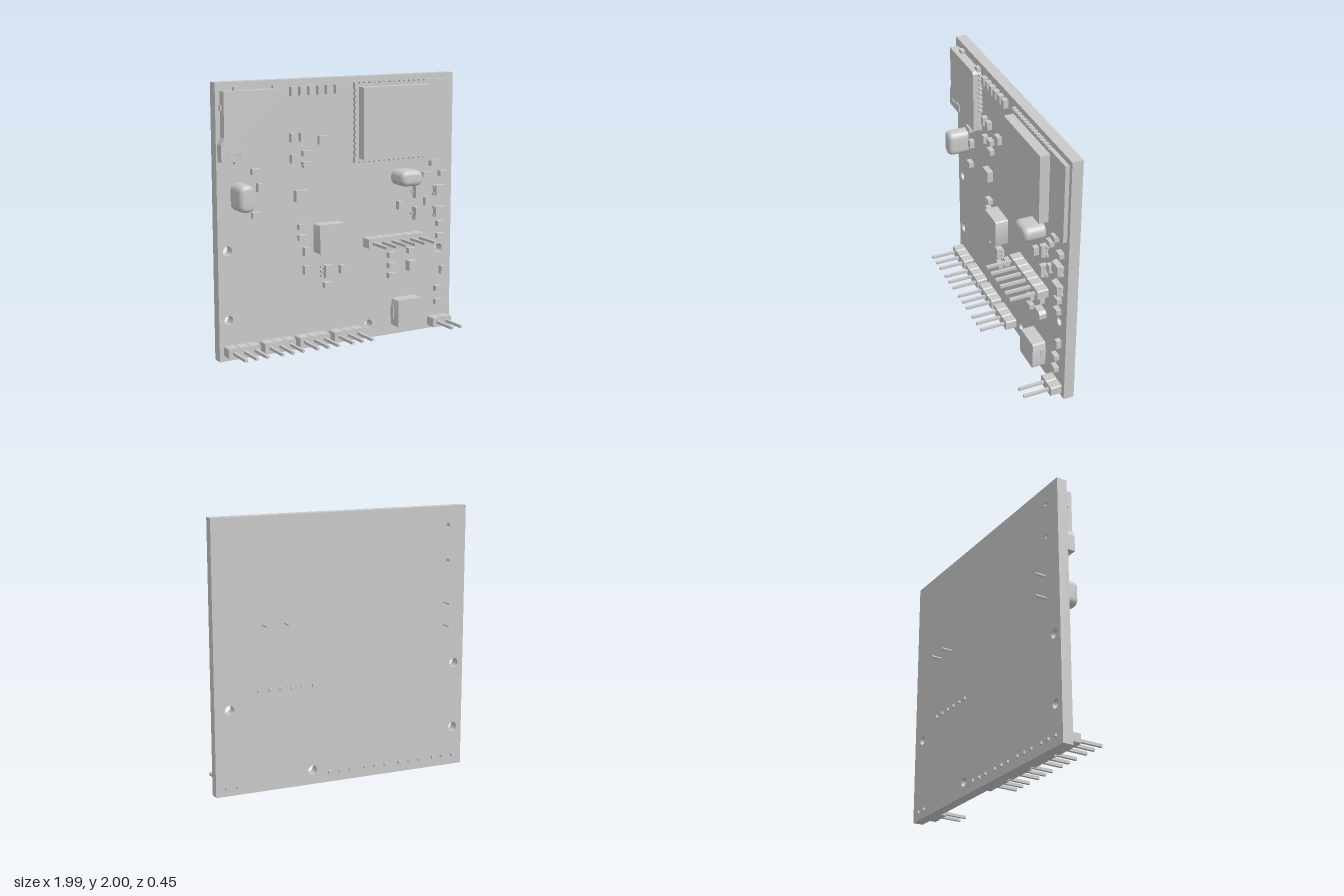
import * as THREE from 'three';
import { toCreasedNormals } from 'three/addons/utils/BufferGeometryUtils.js';

const FACE = -0.06; // z of the board's front face
const BACK = -0.14;

export function createModel() {
  const root = new THREE.Group();
  const grey = new THREE.MeshStandardMaterial({ color: 0xc9c9c9 });
  grey.name = 'lightGrey';

  const add = (name, geo, parent = root) => {
    const mesh = new THREE.Mesh(geo, grey);
    mesh.name = name;
    parent.add(mesh);
  };
  const group = (name) => {
    const g = new THREE.Group();
    g.name = name;
    root.add(g);
    return g;
  };
  // Box from its centre in x and y, and from z0 to z1
  const box = (name, x, y, w, h, z0, z1, parent) =>
    add(name, new THREE.BoxGeometry(w, h, z1 - z0).translate(x, y, (z0 + z1) / 2), parent);
  const polygon = (pts) => new THREE.Shape(pts.map(([x, y]) => new THREE.Vector2(x, y)));
  const slab = (shape, z0, z1) =>
    new THREE.ExtrudeGeometry(shape, { depth: z1 - z0, bevelEnabled: false, curveSegments: 12 }).translate(0, 0, z0);
  const roundRect = (x, y, w, h, r) => {
    const s = new THREE.Shape();
    const a = w / 2 - r, b = h / 2 - r;
    s.absarc(x + a, y + b, r, 0, Math.PI / 2);
    s.absarc(x - a, y + b, r, Math.PI / 2, Math.PI);
    s.absarc(x - a, y - b, r, Math.PI, Math.PI * 1.5);
    s.absarc(x + a, y - b, r, Math.PI * 1.5, Math.PI * 2);
    s.closePath();
    return s;
  };

  // Circuit board with mounting holes and two locating holes
  const board = polygon([[-0.995, 0], [0.995, 0], [0.995, 2], [-0.995, 2]]);
  for (const [x, y, r] of [
    [-0.92, 0.805, 0.035], [-0.92, 0.298, 0.035], [0.882, 0.635, 0.035], [0.247, 0.107, 0.035],
    [-0.85, 1.855, 0.016], [-0.85, 1.59, 0.016],
  ]) {
    const hole = new THREE.Path();
    hole.absarc(x, y, r, 0, Math.PI * 2, true);
    board.holes.push(hole);
  }
  add('circuitBoard', toCreasedNormals(slab(board, BACK, FACE), 0.6));

  // Radio module: base with a notched edge, and a raised metal cover
  const radio = group('radioModule');
  const pts = [];
  const notchRun = (n, from, to, place) => {
    const p = (to - from) / n;
    for (let i = 0; i < n; i++) {
      const a = from + i * p;
      pts.push(place(a + p * 0.3, 0), place(a + p * 0.3, 0.01), place(a + p * 0.7, 0.01), place(a + p * 0.7, 0));
    }
  };
  pts.push([0.107, 1.362]);
  notchRun(14, 0.12, 0.73, (t, d) => [t, 1.362 + d]);
  pts.push([0.96, 1.362], [0.96, 1.958]);
  notchRun(14, 0.73, 0.12, (t, d) => [t, 1.958 - d]);
  pts.push([0.107, 1.958]);
  notchRun(12, 1.92, 1.4, (t, d) => [0.107 + d, t]);
  add('moduleBase', slab(polygon(pts), FACE, -0.03), radio);
  box('moduleCover', 0.437, 1.66, 0.592, 0.53, -0.03, 0.042, radio);

  // Memory card socket
  const socket = group('cardSocket');
  add('socketShell', slab(polygon([
    [-0.985, 1.45], [-0.505, 1.45], [-0.505, 1.92], [-0.52, 1.94], [-0.96, 1.94], [-0.96, 1.62], [-0.985, 1.57],
  ]), FACE, 0.005), socket);
  for (const [x, y] of [[-0.84, 1.947], [-0.535, 1.947], [-0.84, 1.443], [-0.525, 1.467]])
    box('socketTab', x, y, 0.05, 0.035, FACE, -0.03, socket);
  box('socketSideTab', -0.96, 1.825, 0.02, 0.04, FACE, -0.03, socket);
  for (let i = 0; i < 9; i++) box('socketContact', -0.495, 1.62 + i * 0.0365, 0.03, 0.013, FACE, -0.035, socket);
  add('socketLever', slab(polygon([
    [-0.935, 1.5], [-0.85, 1.5], [-0.83, 1.47], [-0.78, 1.47], [-0.78, 1.53], [-0.84, 1.53], [-0.87, 1.515], [-0.935, 1.515],
  ]), 0.005, 0.013), socket);

  // Small chip resistors and capacitors: lying flat and standing upright
  const lying = [
    [-0.293, 1.463], [-0.293, 1.383], [-0.702, 1.362], [-0.702, 1.048], [0.814, 1.314], [0.745, 1.229],
    [0.899, 1.229], [-0.33, 0.926], [-0.33, 0.846], [-0.122, 0.468], [0.441, 0.633], [0.441, 0.553],
    [0.441, 0.473], [0.617, 0.649], [0.883, 0.835], [0.883, 0.739], [0.872, 0.319], [0.872, 0.213],
  ];
  const upright = [
    [-0.404, 1.585], [-0.327, 1.585], [-0.399, 1.431], [-0.67, 1.245], [0.511, 1.011], [0.755, 1.021],
    [-0.298, 0.739], [-0.298, 0.601], [0.005, 0.574], [0.91, 0.463],
  ];
  const chips = group('chipParts');
  for (const [x, y] of lying) box('chipPart', x, y, 0.064, 0.041, FACE, -0.022, chips);
  for (const [x, y] of upright) box('chipPart', x, y, 0.041, 0.064, FACE, -0.022, chips);
  for (let i = 0; i < 6; i++) box('chipCapacitor', -0.396 + i * 0.0722, 1.915, 0.045, 0.065, FACE, -0.022, chips);

  // Larger rectangular packages
  box('sensorChip', -0.16, 1.553, 0.064, 0.064, FACE, -0.025);
  box('flatChip', -0.34, 1.157, 0.1, 0.085, FACE, -0.015);
  add('diode', slab(polygon([
    [0.58, 0.495], [0.655, 0.495], [0.677, 0.515], [0.677, 0.555], [0.655, 0.573], [0.58, 0.573],
  ]), FACE, -0.005));

  // Push buttons with side tabs
  for (const y of [1.098, 0.932]) {
    const g = group('pushButton');
    box('buttonBody', 0.876, y, 0.094, 0.08, FACE, -0.015, g);
    for (const s of [-1, 1]) box('buttonTab', 0.876, y + s * 0.03, 0.112, 0.018, FACE, -0.035, g);
  }

  // Three-legged transistors
  for (const y of [1.106, 0.936]) {
    const g = group('transistor');
    box('transistorBody', 0.656, y, 0.038, 0.098, FACE, -0.01, g);
    box('transistorLeg', 0.63, y, 0.022, 0.02, FACE, -0.045, g);
    for (const s of [-1, 1]) box('transistorLeg', 0.682, y + s * 0.033, 0.022, 0.02, FACE, -0.045, g);
  }

  // Six-legged driver chip
  const driver = group('driverChip');
  box('driverBody', -0.125, 0.574, 0.052, 0.095, FACE, -0.01, driver);
  for (const d of [-0.033, 0, 0.033]) box('driverLegs', -0.125, 0.574 + d, 0.098, 0.018, FACE, -0.04, driver);

  // Power coils
  for (const [x, y, w, h] of [[-0.117, 0.83, 0.22, 0.22], [0.564, 0.18, 0.222, 0.216]]) {
    const g = group('powerCoil');
    add('coilBody', toCreasedNormals(slab(roundRect(x, y, w, h, 0.018), FACE, 0.042), 0.6), g);
    if (x > 0) box('coilTerminals', x, y, 0.236, 0.1, FACE, -0.02, g);
  }

  // Domed crystal cans with two wire leads through the board
  const crystal = (x, y, w, h, leads) => {
    const g = group('crystal');
    const b = 0.035;
    const geo = new THREE.ExtrudeGeometry(roundRect(x, y, w, h, 0.05), {
      depth: 0.13, bevelThickness: b, bevelSize: b, bevelOffset: -b, bevelSegments: 5, curveSegments: 8,
    }).translate(0, 0, -0.065);
    add('crystalCan', toCreasedNormals(geo, 0.6), g);
    for (const [lx, ly] of leads)
      add('crystalLead', new THREE.CylinderGeometry(0.009, 0.009, 0.14, 10).rotateX(Math.PI / 2).translate(lx, ly, -0.155), g);
  };
  crystal(-0.83, 1.192, 0.117, 0.197, [[-0.83, 1.28], [-0.83, 1.11]]);
  crystal(0.54, 1.229, 0.192, 0.117, [[0.455, 1.23], [0.62, 1.23]]);

  // Pin headers: a chamfered block per pin, with a long square pin through it
  const header = (cx, cy, n) => {
    const g = group('pinHeader');
    const p = 0.0838, h = 0.038, c = 0.007;
    for (let i = 0; i < n; i++) {
      const x = cx + (i - (n - 1) / 2) * p, a = p / 2;
      add('headerBlock', slab(polygon([
        [x - a, cy - h + c], [x - a + c, cy - h], [x + a - c, cy - h], [x + a, cy - h + c],
        [x + a, cy + h - c], [x + a - c, cy + h], [x - a + c, cy + h], [x - a, cy + h - c],
      ]), FACE, 0.025), g);
      box('headerPin', x, cy, 0.021, 0.021, -0.157, 0.222, g);
    }
  };
  for (const x of [-0.835, -0.548, -0.261, 0.029]) header(x, 0.075, 3);
  header(0.872, 0.062, 2);
  header(0.449, 0.753, 6);

  return root;
}
